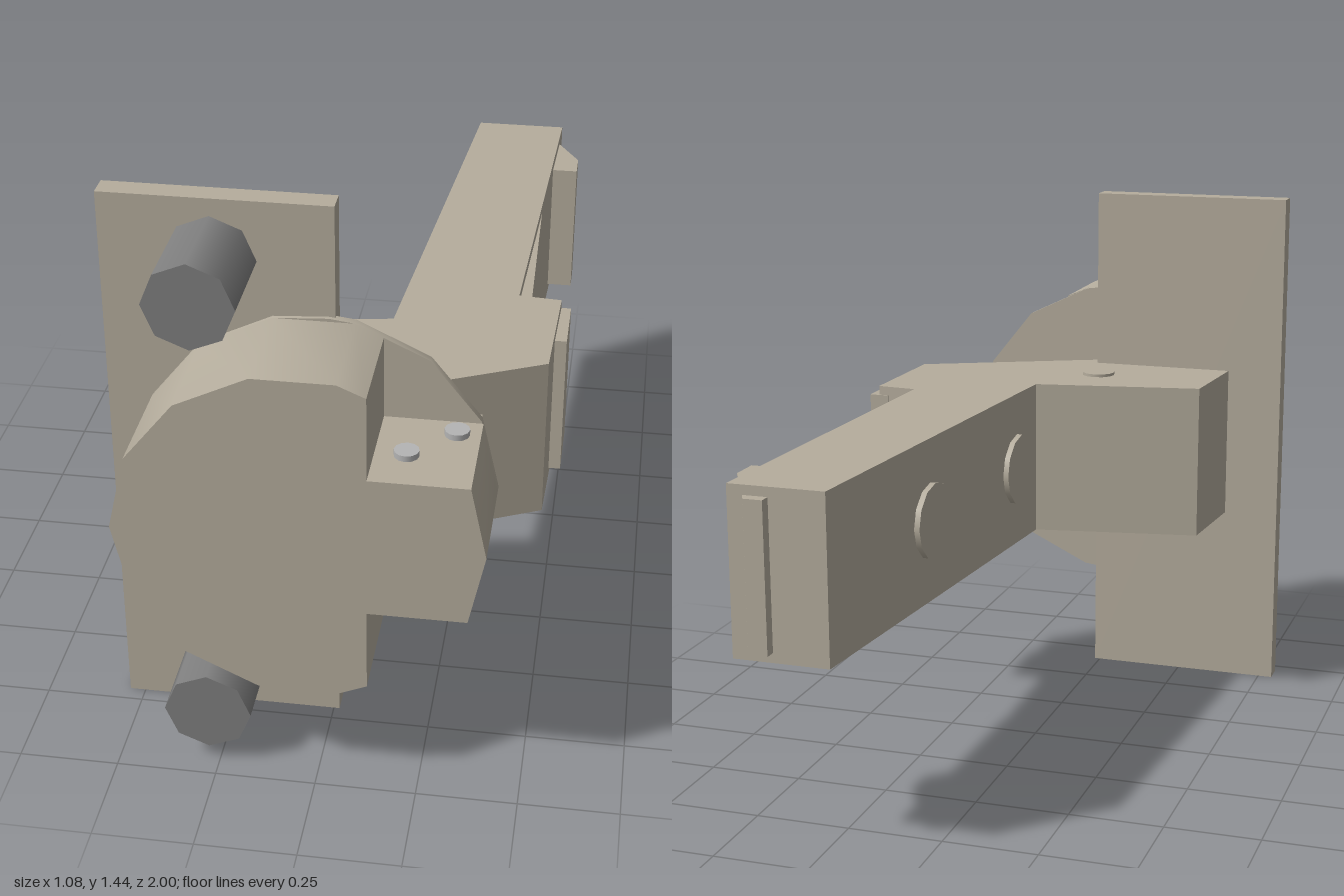
import * as THREE from 'three';
import { toCreasedNormals } from 'three/addons/utils/BufferGeometryUtils.js';

const MID = 0.72; // height of the hinge axis

export function createModel() {
  const group = new THREE.Group();
  const metal = new THREE.MeshStandardMaterial({ color: 0xb5ad9d });
  const dark = new THREE.MeshStandardMaterial({ color: 0x808080 });
  const steel = new THREE.MeshStandardMaterial({ color: 0xb4b4b4 });

  const add = (name, geometry, material = metal) => {
    const mesh = new THREE.Mesh(geometry, material);
    mesh.name = name;
    group.add(mesh);
    return mesh;
  };
  const box = (name, x0, x1, y0, y1, z0, z1) =>
    add(name, new THREE.BoxGeometry(x1 - x0, y1 - y0, z1 - z0))
      .position.set((x0 + x1) / 2, (y0 + y1) / 2, (z0 + z1) / 2);
  const shapeOf = (points) => new THREE.Shape(points.map(([x, y]) => new THREE.Vector2(x, y)));

  // Plan outline given as [x, z], extruded symmetrically about the axis height
  const planExtrude = (name, points, halfHeight) => {
    const geo = new THREE.ExtrudeGeometry(shapeOf(points.map(([x, z]) => [x, -z])),
      { depth: 2 * halfHeight, bevelEnabled: false });
    geo.rotateX(-Math.PI / 2).translate(0, MID - halfHeight, 0);
    return add(name, geo);
  };
  // Front outline given as [x, y], extruded from z0 to z1 with smooth rim
  const frontExtrude = (name, points, z0, z1) => {
    const geo = new THREE.ExtrudeGeometry(shapeOf(points), { depth: z1 - z0, bevelEnabled: false });
    geo.translate(0, 0, z0);
    return add(name, toCreasedNormals(geo, 0.6));
  };

  // Mounting flange with two dowels
  box('flangePlate', -0.54, 0.015, 0, 1.44, 0.65, 0.71);
  for (const s of [-1, 1]) {
    const geo = new THREE.CylinderGeometry(0.108, 0.108, 0.245, 8).rotateX(Math.PI / 2);
    add('dowel', geo, dark).position.set(-0.275, MID + s * 0.568, 0.8275);
  }

  // Fourteen-sided cup: thin full back disc, notched front body
  const cx = -0.035, r = 0.44, sides = 14;
  const rim = (i) => {
    const a = (i * 2 * Math.PI) / sides;
    return [cx + r * Math.cos(a), MID + r * Math.sin(a)];
  };
  const disc = Array.from({ length: sides }, (_, i) => rim(i));
  disc.splice(4, 0, [0, 1.157]);
  disc.splice(12, 0, [0, 0.283]);
  frontExtrude('cupBackDisc', disc, 0.7, 0.72);
  const body = [
    [0.366, 0.535], rim(0), [0.366, 0.905], [0.13, 0.905], [0.13, 1.12],
    ...Array.from({ length: 9 }, (_, i) => rim(i + 3)),
    [0.13, 0.32], [0.13, 0.535],
  ];
  frontExtrude('cupBody', body, 0.72, 1);
  box('cupLink', 0.13, 0.36, 0.535, 0.905, 0.68, 0.72);

  // Pivot pins above and below the cup block
  for (const s of [-1, 1])
    for (const [x, z] of [[0.205, 0.88], [0.31, 0.775]])
      add('pivotPin', new THREE.CylinderGeometry(0.03, 0.03, 0.03, 12), steel)
        .position.set(x, MID + s * 0.185, z);

  // Cranked arm
  planExtrude('arm', [
    [0.19, -0.97], [0.44, -0.97], [0.4, 0.13], [0.51, 0.14], [0.5, 0.47],
    [0.06, 0.68], [0.015, 0.7], [-0.385, 0.65], [-0.362, 0.38], [0.095, 0.3],
  ], 0.215);
  planExtrude('sidePanel', [[0.36, -0.5], [0.418, -0.5], [0.432, 0.14], [0.36, 0.14]], 0.19);

  // Catches on the outer side and the end tab
  box('frontCatch', 0.48, 0.535, MID - 0.19, MID + 0.19, 0.135, 0.31);
  planExtrude('rearCatch', [[0.42, -0.9], [0.437, -0.9], [0.5, -0.79], [0.5, -0.71], [0.41, -0.71]], 0.19);
  planExtrude('endTab', [[0.335, -1], [0.385, -1], [0.405, -0.96], [0.335, -0.96]], 0.19);

  // Two round screw heads on the inner side face
  const tilt = Math.atan2(0.095, 1.27);
  for (const z of [-0.41, 0.16]) {
    const geo = new THREE.CylinderGeometry(0.1, 0.1, 0.03, 12).rotateZ(Math.PI / 2).rotateY(-tilt);
    add('screwHead', geo).position.set(0.095 + ((0.3 - z) / 1.27) * 0.095, MID, z);
  }

  // Through pin showing on the top and bottom of the arm
  add('armPin', new THREE.CylinderGeometry(0.047, 0.047, 0.446, 12)).position.set(-0.035, MID, 0.49);

  return group;
}
